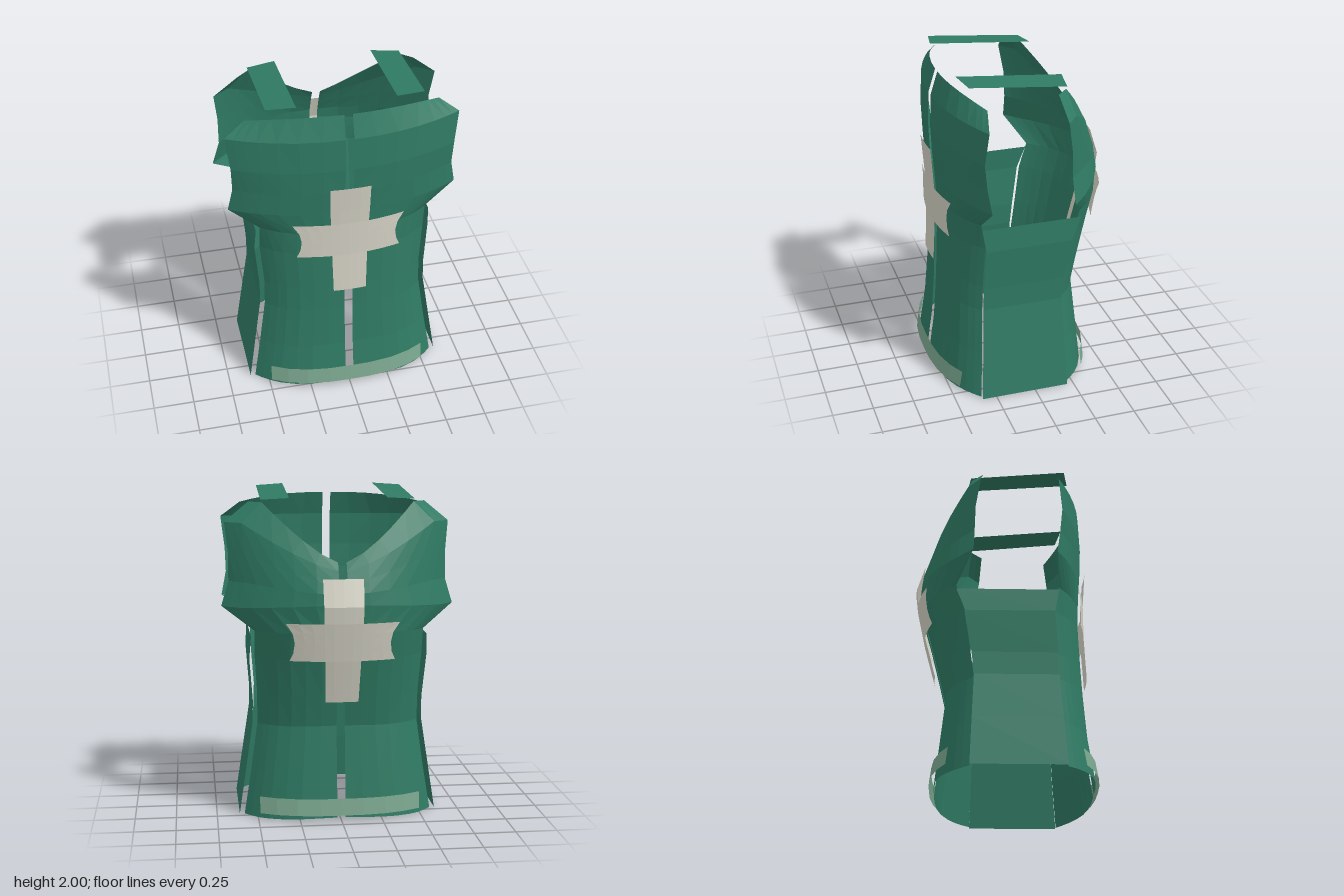
import * as THREE from 'three';

const mat = (name, color) => {
  const m = new THREE.MeshStandardMaterial({ color, side: THREE.DoubleSide, flatShading: true });
  m.name = name;
  return m;
};

// Open sheet through a grid of points: rows of equal length, bottom row first
function sheet(name, rows, material) {
  const n = rows[0].length;
  const index = [];
  for (let r = 0; r < rows.length - 1; r++) {
    for (let c = 0; c < n - 1; c++) {
      const a = r * n + c, b = a + 1, d = a + n, e = d + 1;
      index.push(a, b, e, a, e, d);
    }
  }
  const geo = new THREE.BufferGeometry();
  geo.setAttribute('position', new THREE.Float32BufferAttribute(rows.flat(2), 3));
  geo.setIndex(index);
  geo.computeVertexNormals();
  const mesh = new THREE.Mesh(geo, material);
  mesh.name = name;
  return mesh;
}

// Piecewise linear lookup in [key, value] pairs
function lookup(table, t) {
  for (let i = 1; i < table.length; i++) {
    const [k0, v0] = table[i - 1], [k1, v1] = table[i];
    if (t <= k1) return v0 + (v1 - v0) * (t - k0) / (k1 - k0);
  }
  return table[table.length - 1][1];
}

const GAP = 0.025;
const COLUMNS = [0, 0.2, 0.4, 0.58, 0.74, 0.85, 0.93, 1];

// Cross-sections: y at centre, y at edge, half width, z at centre, z at edge, curve power
const FRONT = [
  [0.02, 0.00, 0.58, 0.53, 0.34, 3.3],
  [0.30, 0.28, 0.535, 0.49, 0.32, 3.3],
  [0.58, 0.56, 0.495, 0.47, 0.305, 3.3],
  [0.75, 0.72, 0.49, 0.462, 0.30, 3.2],
  [1.00, 0.99, 0.51, 0.453, 0.285, 3.0],
  [1.15, 1.15, 0.51, 0.453, 0.31, 2.8],
  [1.30, 1.30, 0.69, 0.462, 0.295, 2.4],
  [1.45, 1.45, 0.66, 0.474, 0.315, 2.3],
  [1.60, 1.60, 0.665, 0.48, 0.33, 2.2],
  [1.80, 1.80, 0.69, 0.472, 0.31, 2.1],
  [1.94, 1.89, 0.57, 0.428, 0.285, 2.0],
];
const BACK = [
  [0.02, 0.00, 0.58, -0.42, -0.21, 3.3],
  [0.30, 0.28, 0.535, -0.39, -0.20, 3.3],
  [0.58, 0.57, 0.495, -0.36, -0.19, 3.2],
  [0.78, 0.76, 0.495, -0.405, -0.215, 3.1],
  [1.00, 1.00, 0.51, -0.46, -0.25, 2.9],
  [1.18, 1.16, 0.51, -0.51, -0.30, 2.6],
  [1.34, 1.30, 0.705, -0.53, -0.20, 2.0],
  [1.40, 1.45, 0.66, -0.525, -0.195, 1.9],
  [1.46, 1.62, 0.66, -0.50, -0.19, 1.8],
  [1.53, 1.80, 0.68, -0.47, -0.16, 1.7],
  [1.58, 1.92, 0.535, -0.44, -0.145, 1.65],
];

const panelRows = (sections, side, rise) => sections.map(([yc, ye, w, zc, ze, p]) =>
  COLUMNS.map(u => [
    side * (GAP + (w - GAP) * u),
    yc + (ye - yc) * rise(u),
    zc + (ze - zc) * u ** p,
  ]));

export function createModel() {
  const model = new THREE.Group();
  model.name = 'vest';
  const green = mat('vestGreen', 0x2f7a63);
  const white = mat('crossWhite', 0xd3d1c4);
  const pale = mat('hemPaleGreen', 0x7ba78f);

  const frontRise = u => u ** 2.5;
  const backRise = u => Math.min(1, (u / 0.85) ** 1.3);

  for (const side of [1, -1]) {
    const label = side > 0 ? 'left' : 'right';

    // Front and back halves, split down the middle
    model.add(sheet(label + 'FrontPanel', panelRows(FRONT, side, frontRise), green));
    model.add(sheet(label + 'BackPanel', panelRows(BACK, side, backRise), green));

    // Side panel: y, x, front z, back z
    const sidePanel = [
      [0, 0.61, 0.34, -0.21],
      [0.3, 0.565, 0.32, -0.20],
      [0.58, 0.523, 0.305, -0.19],
      [0.72, 0.522, 0.30, -0.205],
      [0.98, 0.542, 0.285, -0.245],
      [1.125, 0.533, 0.31, -0.30],
    ];
    model.add(sheet(label + 'SidePanel',
      sidePanel.map(([y, x, zf, zb]) => [[side * x, y, zf], [side * x, y, zb]]), green));

    // Shoulder strap
    model.add(sheet(label + 'ShoulderStrap', [
      [[side * 0.29, 2.0, 0.39], [side * 0.46, 1.99, 0.36]],
      [[side * 0.295, 1.945, -0.245], [side * 0.465, 1.935, -0.22]],
    ], green));
  }

  // Crosses: depth at the centre line by height, and how fast the arms wrap round
  const crosses = [
    ['frontCross', [[0.74, 0.505], [1, 0.493], [1.23, 0.493], [1.33, 0.5], [1.49, 0.512]], -0.4],
    ['backCross', [[0.74, -0.432], [1, -0.5], [1.23, -0.548], [1.33, -0.56], [1.49, -0.51]], 0.55],
  ];
  for (const [name, depth, wrap] of crosses) {
    const cross = new THREE.Group();
    cross.name = name;
    const point = (x, y) => [x, y, lookup(depth, y) + wrap * x * x];
    const upright = [[0.74, 0.1], [1, 0.107], [1.23, 0.115], [1.33, 0.118], [1.49, 0.12]];
    cross.add(sheet('crossUpright',
      upright.map(([y, w]) => [-1, -0.5, 0, 0.5, 1].map(s => point(s * w, y))), white));
    // Arms with hollow ends
    const ends = [[1, 0.315], [1.05, 0.293], [1.11, 0.285], [1.17, 0.298], [1.23, 0.338]];
    for (const side of [1, -1]) {
      cross.add(sheet('crossArm', ends.map(([y, end]) => [0, 0.33, 0.67, 1].map(t => {
        const start = lookup(upright, y);
        return point(side * (start + (end - start) * t), y);
      })), white));
    }
    model.add(cross);
  }

  // Hem bands across the bottom of the front and back
  const hem = (name, zLow, zHigh, dir) => sheet(name, [[0.04, zLow], [0.142, zHigh]].map(([y, z]) =>
    [-0.49, -0.39, -0.27, -0.13, 0, 0.13, 0.27, 0.39, 0.49].map(x =>
      [x, y, dir * (z - 0.105 * (Math.abs(x) / 0.49) ** 2.8)])), pale);
  model.add(hem('frontHemBand', 0.557, 0.54, 1));
  model.add(hem('backHemBand', 0.45, 0.437, -1));

  return model;
}
